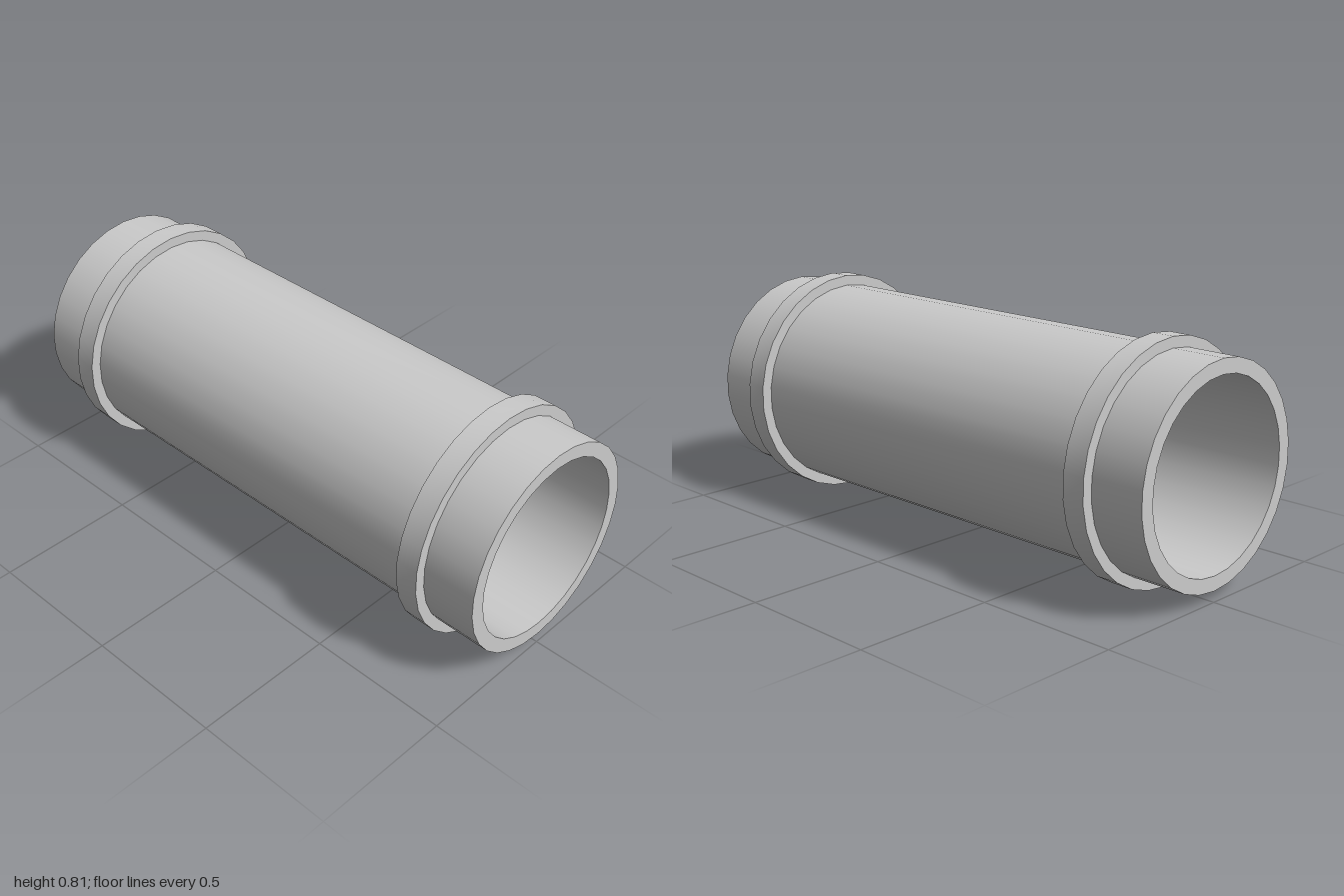
import * as THREE from 'three';
import { toCreasedNormals } from 'three/addons/utils/BufferGeometryUtils.js';

const SIDES = 30;
const AXIS_Y = 0.405;
const material = new THREE.MeshStandardMaterial({ color: 0xcccccc });

// Hollow ring along the x axis, with crisp rims and smooth walls
function ring(name, inner, outer, length) {
  const h = length / 2;
  const profile = [[outer, -h], [outer, h], [inner, h], [inner, -h], [outer, -h]]
    .map(([r, y]) => new THREE.Vector2(r, y));
  const geometry = new THREE.LatheGeometry(profile, SIDES, Math.PI / 2);
  geometry.rotateZ(-Math.PI / 2);
  const mesh = new THREE.Mesh(toCreasedNormals(geometry, Math.PI / 6), material);
  mesh.name = name;
  mesh.position.y = AXIS_Y;
  return mesh;
}

export function createModel() {
  const model = new THREE.Group();
  model.name = 'pipe';

  // Open tube
  model.add(ring('tube', 0.318, 0.368, 2));

  // Raised collar near each end
  for (const side of [-1, 1]) {
    const collar = ring(side > 0 ? 'leftCollar' : 'rightCollar', 0.36, 0.405, 0.08);
    collar.position.x = side * 0.77;
    model.add(collar);
  }
  return model;
}
